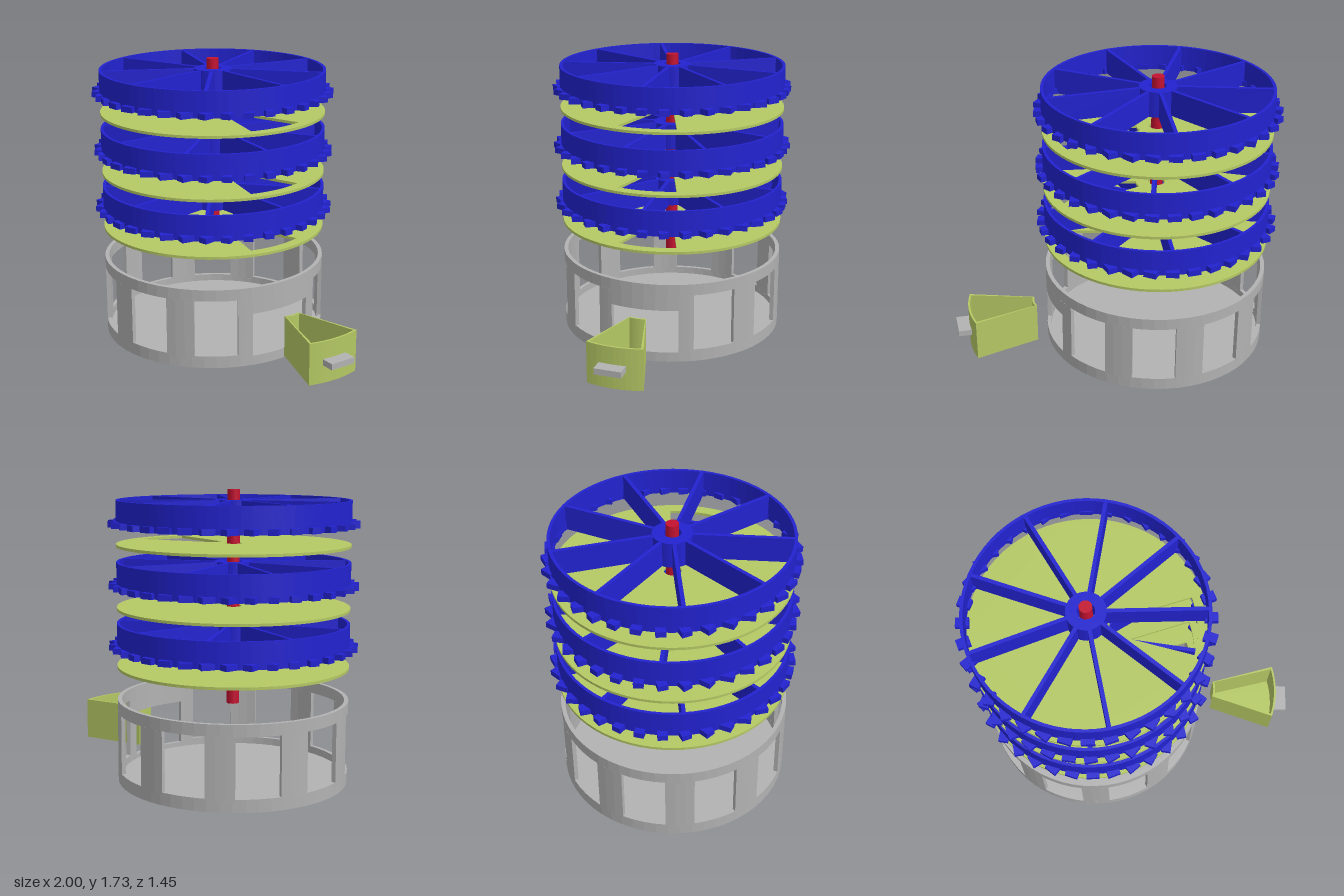
import * as THREE from 'three';

const mat = (name, color) => Object.assign(new THREE.MeshStandardMaterial({ color }), { name });
const RAD = Math.PI / 180;
const AXIS_X = -0.27;
const R = 0.687;

export function createModel() {
  const blue = mat('blue', 0x2222d0);
  const green = mat('lime green', 0xb4c864);
  const grey = mat('grey', 0xb2b2b2);
  const red = mat('red', 0xc41230);

  const model = new THREE.Group();
  model.name = 'stackedCarousel';
  const tower = new THREE.Group();
  tower.name = 'tower';
  tower.position.x = AXIS_X;
  model.add(tower);

  const add = (parent, name, geometry, material) => {
    const mesh = new THREE.Mesh(geometry, material);
    mesh.name = name;
    parent.add(mesh);
    return mesh;
  };

  // points along an arc, angles in degrees
  const arc = (r, a0, a1, n) => Array.from({ length: n + 1 }, (_, i) => {
    const a = (a0 + (a1 - a0) * i / n) * RAD;
    return new THREE.Vector2(r * Math.cos(a), r * Math.sin(a));
  });
  const circle = (r, n) => arc(r, 0, 360, n).slice(0, n);
  const sector = (r0, r1, a0, a1, n) => [...arc(r1, a0, a1, n), ...arc(r0, a1, a0, n)];

  // a flat outline raised from y0 to y1
  const slab = (outline, holes, y0, y1) => {
    const shape = new THREE.Shape(outline);
    shape.holes = holes.map((h) => new THREE.Path(h));
    return new THREE.ExtrudeGeometry(shape, { depth: y1 - y0, bevelEnabled: false })
      .rotateX(-Math.PI / 2).translate(0, y0, 0);
  };

  // base drum: floor, top and bottom bands, posts between the openings
  const base = new THREE.Group();
  base.name = 'base';
  tower.add(base);
  const inner = R - 0.025;
  add(base, 'baseFloor', slab(circle(R, 60), [], 0, 0.03), grey);
  add(base, 'bottomBand', slab(circle(R, 60), [circle(inner, 60)], 0.03, 0.06), grey);
  add(base, 'topBand', slab(circle(R, 60), [circle(inner, 60)], 0.425, 0.495), grey);
  const half = (i) => (i % 10 === 0 ? 17.5 : 10.9);
  for (let i = 0; i < 10; i++) {
    const a0 = i * 36 + half(i), a1 = (i + 1) * 36 - half(i + 1);
    add(base, 'post', slab(sector(inner, R, a0, a1, 3), [], 0.06, 0.425), grey);
    if (i > 0) {
      add(base, 'windowSill', slab(sector(inner, R, i * 36 - 10.9, i * 36 + 10.9, 4), [], 0.06, 0.075), grey);
    }
  }
  add(base, 'drawerLintel', slab(sector(inner, R, -17.5, 17.5, 6), [], 0.33, 0.425), grey);

  // central shaft
  add(tower, 'shaft', new THREE.CylinderGeometry(0.037, 0.037, 1.27, 32).translate(0, 1.095, 0), red);

  // divider discs, each with a wedge opening
  for (const y of [0.685, 1.03, 1.4]) {
    const wedge = sector(0.125, 0.62, -16.5, 16.5, 8);
    add(tower, 'dividerDisc', slab(circle(R, 72), [wedge, circle(0.05, 24)], y, y + 0.016), green);
  }

  // compartment wheels: rim, hub, nine spokes and a ring of teeth
  const makeWheel = (y, turn) => {
    const wheel = new THREE.Group();
    wheel.name = 'wheel';
    wheel.position.y = y;
    wheel.rotation.y = turn * RAD;
    tower.add(wheel);
    const h = 0.155;
    add(wheel, 'rim', slab(circle(R, 72), [circle(R - 0.018, 72)], 0, h), blue);
    add(wheel, 'hub', slab(circle(0.114, 36), [circle(0.05, 24)], 0, h), blue);
    const spoke = new THREE.BoxGeometry(0.57, h - 0.002, 0.022).translate(0.39, h / 2, 0);
    for (let i = 0; i < 9; i++) {
      add(wheel, 'spoke', spoke, blue).rotation.y = i * 40 * RAD;
    }
    // teeth turn twice as fast as they advance round the rim
    const tooth = new THREE.BoxGeometry(0.076, 0.034, 0.056);
    for (let i = 0; i < 36; i++) {
      const a = i * 10 * RAD;
      const t = add(wheel, 'tooth', tooth, blue);
      t.position.set(0.69 * Math.cos(a), 0.017, -0.69 * Math.sin(a));
      t.rotation.y = 2 * a;
    }
  };
  makeWheel(0.795, 0);
  makeWheel(1.155, -10);
  makeWheel(1.515, 0);

  // pulled-out wedge drawer, open at the top
  const drawer = new THREE.Group();
  drawer.name = 'drawer';
  drawer.position.x = 0.34;
  drawer.rotation.y = -3.6 * RAD;
  model.add(drawer);
  const outline = sector(0.17, 0.58, -17, 17, 10);
  const cavity = sector(0.182, 0.568, -15.6, 15.6, 10);
  add(drawer, 'drawerFloor', slab(outline, [], 0.06, 0.072), green);
  add(drawer, 'drawerWalls', slab(outline, [cavity], 0.072, 0.315), green);
  add(drawer, 'drawerHandle', new THREE.BoxGeometry(0.08, 0.037, 0.162).translate(0.615, 0.19, 0.008), grey);

  return model;
}
